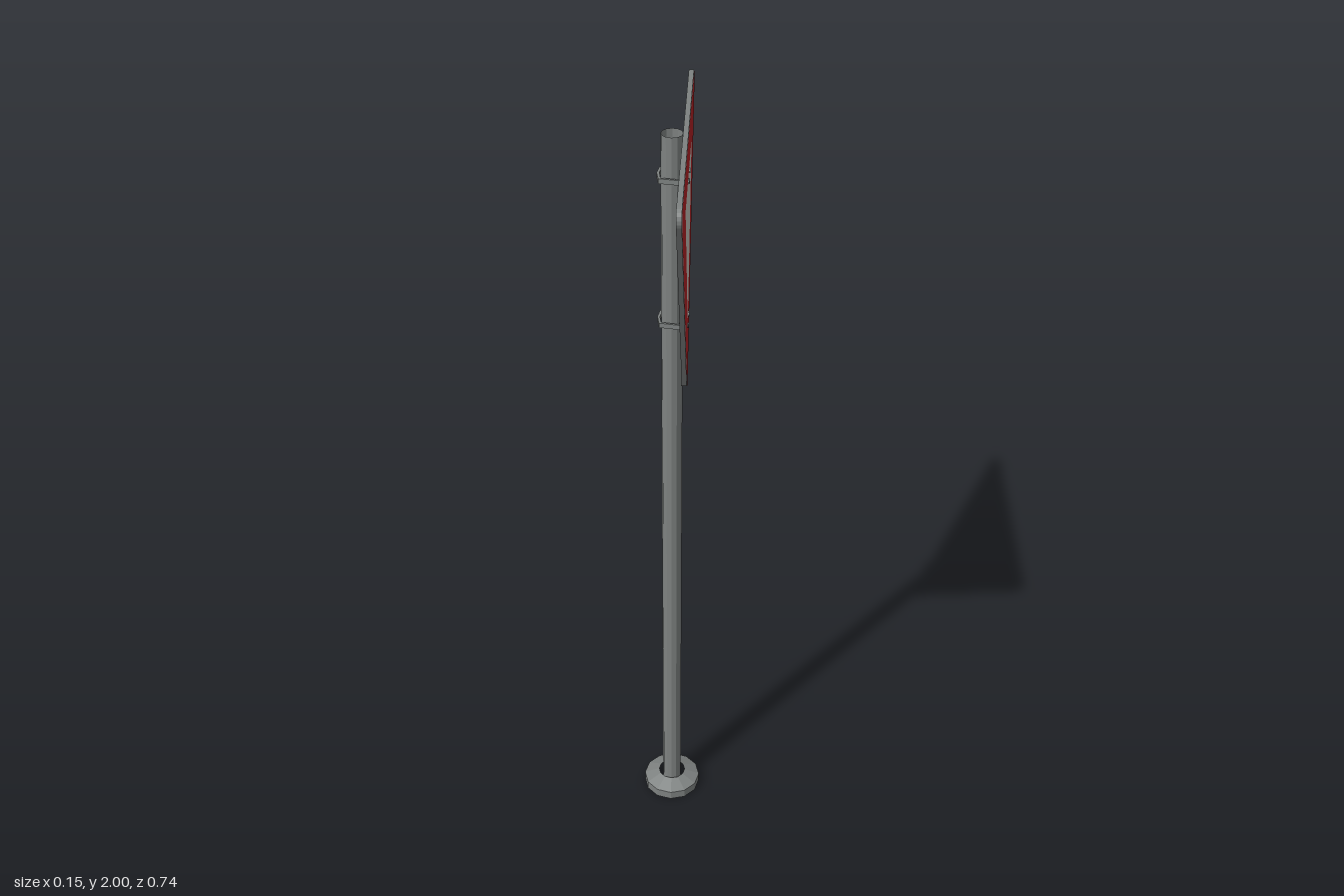
import * as THREE from 'three';

const steel = new THREE.MeshStandardMaterial({ color: 0x7e8281, side: THREE.DoubleSide });
steel.name = 'grey steel';
const red = new THREE.MeshStandardMaterial({ color: 0xb42024 });
red.name = 'sign red';
const white = new THREE.MeshStandardMaterial({ color: 0xc4c4bc });
white.name = 'sign white';

// Splits shared vertices so that each facet is flat
function faceted(geometry) {
  const flat = geometry.index ? geometry.toNonIndexed() : geometry;
  flat.computeVertexNormals();
  return flat;
}

function add(parent, name, geometry, material) {
  const mesh = new THREE.Mesh(geometry, material);
  mesh.name = name;
  parent.add(mesh);
  return mesh;
}

const points = (list) => list.map(([x, y]) => new THREE.Vector2(x, y));

// Downward-pointing triangle with round corners
function signOutline() {
  const r = 0.025;
  const corners = [[0.3435, 1.975, -30], [-0.3435, 1.975, 90], [0, 1.38, 210]];
  const outline = [];
  for (const [x, y, start] of corners) {
    for (let i = 0; i <= 6; i++) {
      const a = THREE.MathUtils.degToRad(start + i * 20);
      outline.push(new THREE.Vector2(x + r * Math.cos(a), y + r * Math.sin(a)));
    }
  }
  return outline;
}

// Bracket round the pole, with two bolts through the plate
function createClamp(y) {
  const clamp = new THREE.Group();
  clamp.name = 'clamp';
  const band = new THREE.Shape(points([
    [0.025, -0.039], [0.025, 0.039], [-0.029, 0.03], [-0.034, 0], [-0.029, -0.03],
  ]));
  band.holes.push(new THREE.Path(points([
    [0.018, -0.033], [-0.024, -0.025], [-0.028, 0], [-0.024, 0.025], [0.018, 0.033],
  ])));
  const geometry = new THREE.ExtrudeGeometry(band, { depth: 0.012, bevelEnabled: false });
  geometry.rotateX(-Math.PI / 2).translate(0, -0.006, 0);
  add(clamp, 'clampBand', geometry, steel);
  for (const side of [-1, 1]) {
    const bolt = new THREE.CylinderGeometry(0.006, 0.006, 0.018, 6);
    bolt.rotateZ(-Math.PI / 2).translate(0.031, 0, side * 0.026);
    add(clamp, 'bolt', faceted(bolt), steel);
  }
  clamp.position.y = y;
  return clamp;
}

export function createModel() {
  const model = new THREE.Group();
  model.name = 'yieldSign';

  // Foot, open underneath
  const foot = new THREE.LatheGeometry(points([[0.077, 0], [0.077, 0.025], [0.036, 0.042]]), 12);
  add(model, 'foot', faceted(foot), steel);

  // Hollow pole
  const pole = new THREE.CylinderGeometry(0.025, 0.025, 2, 12, 1, true);
  add(model, 'pole', faceted(pole.translate(0, 1, 0)), steel);

  // Plate facing +x
  const outline = signOutline();
  const plate = new THREE.ExtrudeGeometry(new THREE.Shape(outline), { depth: 0.012, bevelEnabled: false });
  add(model, 'signPlate', plate.rotateY(Math.PI / 2).translate(0.024, 0, 0), steel);

  // Painted border and centre
  const centre = points([[0.185, 1.907], [-0.185, 1.907], [-0.01, 1.54], [0.01, 1.54]]);
  const border = new THREE.Shape(outline);
  border.holes.push(new THREE.Path(centre));
  const paint = [['redBorder', border, red], ['whiteCentre', new THREE.Shape(centre), white]];
  for (const [name, shape, material] of paint) {
    const face = new THREE.ShapeGeometry(shape);
    add(model, name, face.rotateY(Math.PI / 2).translate(0.0368, 0, 0), material);
  }

  // Upper and lower clamps
  for (const y of [1.9, 1.535]) model.add(createClamp(y));

  return model;
}
